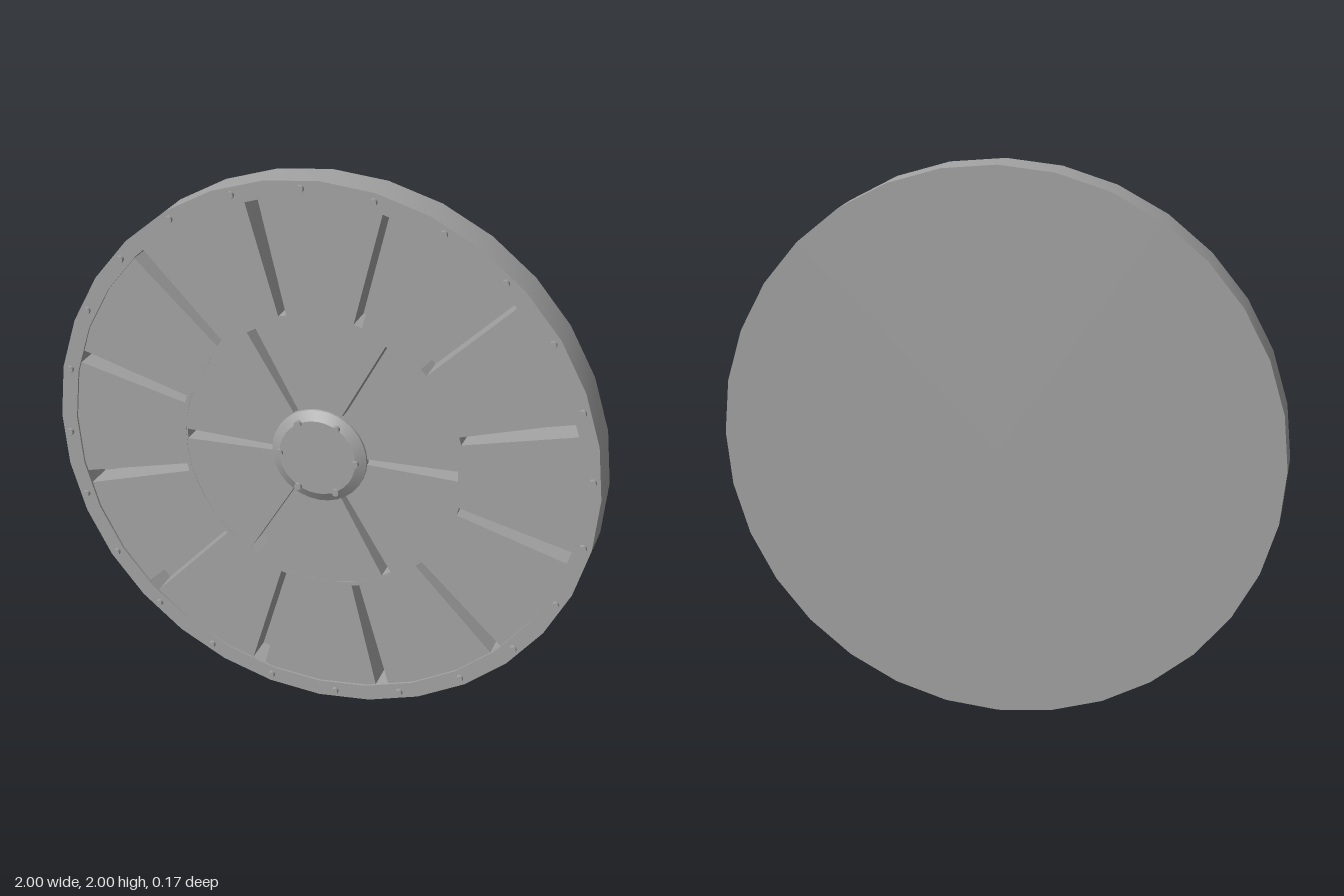
import * as THREE from 'three';
import { toCreasedNormals } from 'three/addons/utils/BufferGeometryUtils.js';

const FLOOR = -0.06, PLATE = 0.045, RIM = 0.053;

// Solid of revolution about the z axis; points are [radius, z]
function turned(points, sides) {
  const g = new THREE.LatheGeometry(points.map(([r, z]) => new THREE.Vector2(r, z)), sides);
  g.rotateX(Math.PI / 2);
  return toCreasedNormals(g, 0.5);
}

// Tapered radial slot outline
function slot(angle, r0, r1, w0, w1) {
  const c = Math.cos(angle), s = Math.sin(angle);
  const at = (r, t) => new THREE.Vector2(r * c - t * s, r * s + t * c);
  return new THREE.Path([at(r0, -w0 / 2), at(r0, w0 / 2), at(r1, w1 / 2), at(r1, -w1 / 2)]);
}

// Slotted plate standing on the recessed floor
function plate(shape, front) {
  const g = new THREE.ExtrudeGeometry(shape, { depth: front - FLOOR, bevelEnabled: false, curveSegments: 24 });
  g.translate(0, 0, FLOOR);
  return toCreasedNormals(g, 0.5);
}

export function createModel() {
  const group = new THREE.Group();
  const metal = new THREE.MeshStandardMaterial({ color: 0xa3a3a3 });
  metal.name = 'grey metal';
  const wheel = new THREE.Group();
  wheel.name = 'disc';
  wheel.position.y = 1;
  group.add(wheel);

  function add(name, geometry) {
    const mesh = new THREE.Mesh(geometry, metal);
    mesh.name = name;
    wheel.add(mesh);
    return mesh;
  }

  // Back, outer wall, rim and recessed floor in one profile
  add('rimAndBack', turned([
    [0, -0.083], [1, -0.083], [1, RIM], [0.94, RIM], [0.94, FLOOR], [0, FLOOR],
  ], 32));

  // Outer plate with twelve slots
  const outer = new THREE.Shape().absarc(0, 0, 0.955, 0, Math.PI * 2, false);
  outer.holes.push(new THREE.Path().absarc(0, 0, 0.508, 0, Math.PI * 2, true));
  for (let i = 0; i < 12; i++) {
    outer.holes.push(slot((i + 0.5) * Math.PI / 6, 0.523, 0.938, 0.03, 0.05));
  }
  add('outerPlate', plate(outer, PLATE));

  // Inner plate with six slots
  const inner = new THREE.Shape().absarc(0, 0, 0.508, 0, Math.PI * 2, false);
  for (let i = 0; i < 6; i++) {
    inner.holes.push(slot(i * Math.PI / 3, 0.15, 0.502, 0.02, 0.038));
  }
  add('innerPlate', plate(inner, PLATE - 0.001));

  // Bevelled hub cap
  add('hubCap', turned([[0.175, 0.03], [0.175, RIM], [0.14, 0.073], [0, 0.073]], 32));

  // Bolt rings
  function boltRing(name, count, radius, start, z0, z1) {
    const g = new THREE.CylinderGeometry(0.013, 0.013, z1 - z0, 10);
    g.rotateX(Math.PI / 2);
    for (let i = 0; i < count; i++) {
      const a = start + i * Math.PI * 2 / count;
      add(name, g).position.set(radius * Math.cos(a), radius * Math.sin(a), (z0 + z1) / 2);
    }
  }
  boltRing('rimBolt', 24, 0.97, 0.065, 0.045, 0.067);
  boltRing('hubBolt', 6, 0.14, 0, 0.06, 0.084);

  return group;
}
